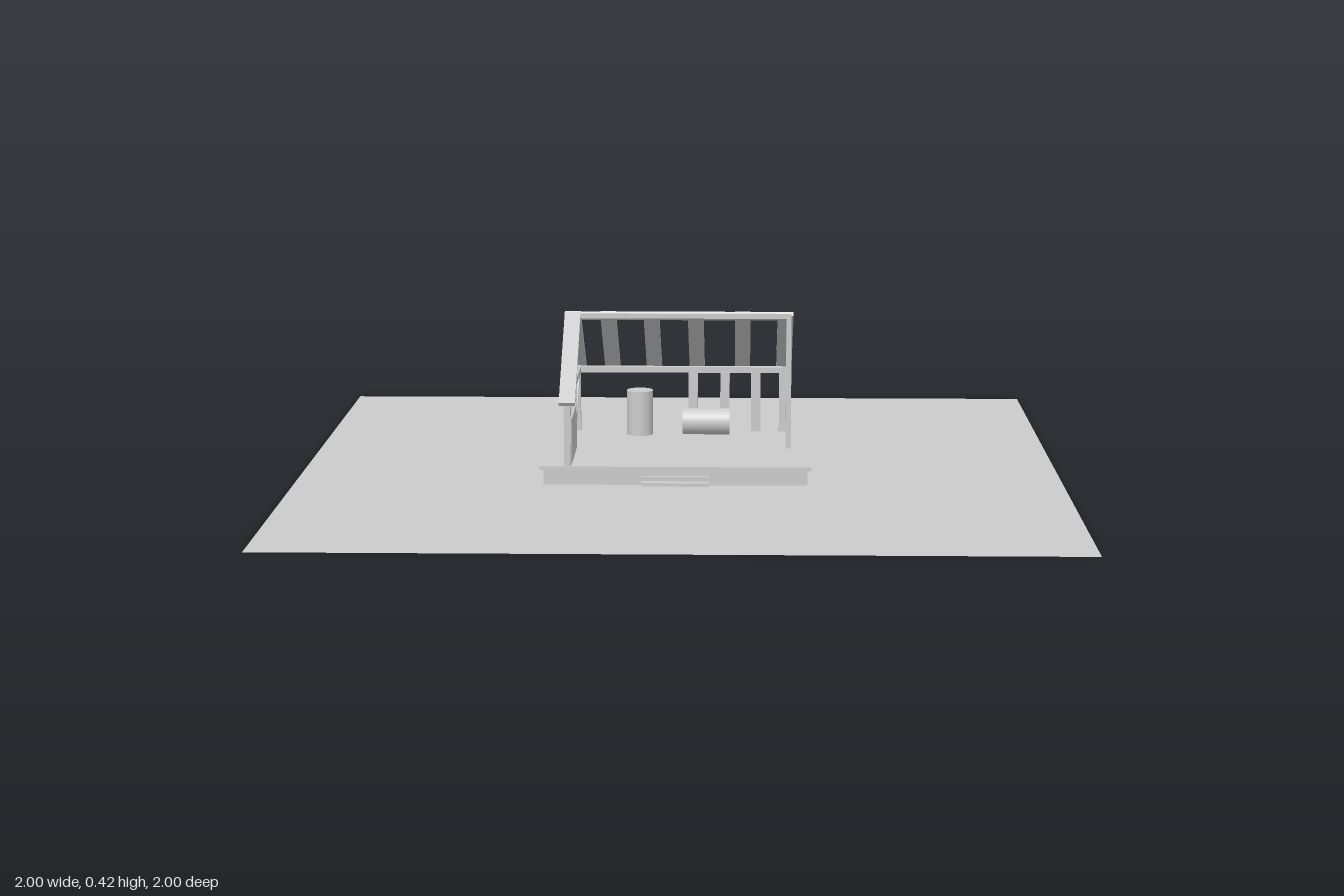
import * as THREE from 'three';

const mat = new THREE.MeshStandardMaterial({ color: 0xcccccc });

export function createModel() {
  const model = new THREE.Group();

  const add = (name, geometry, x, y, z) => {
    const mesh = new THREE.Mesh(geometry, mat);
    mesh.name = name;
    mesh.position.set(x, y, z);
    model.add(mesh);
    return mesh;
  };
  // Box given by its extents along each axis
  const box = (name, [x0, x1], [y0, y1], [z0, z1]) =>
    add(name, new THREE.BoxGeometry(x1 - x0, y1 - y0, z1 - z0),
      (x0 + x1) / 2, (y0 + y1) / 2, (z0 + z1) / 2);
  // Board running in the y-z plane from (y0, z0) to (y1, z1)
  const board = (name, x, width, thick, [y0, z0], [y1, z1]) => {
    const length = Math.hypot(y1 - y0, z1 - z0);
    const mesh = add(name, new THREE.BoxGeometry(width, thick, length),
      x, (y0 + y1) / 2, (z0 + z1) / 2);
    mesh.rotation.x = -Math.atan2(y1 - y0, z1 - z0);
    return mesh;
  };

  // Ground sheet
  const ground = add('ground', new THREE.PlaneGeometry(2, 2), 0, 0, 0);
  ground.rotation.x = -Math.PI / 2;
  ground.material = mat.clone();
  ground.material.side = THREE.DoubleSide;

  // Platform and front steps
  box('platform', [-0.35, 0.335], [0, 0.04], [-0.245, 0.245]);
  box('deck', [-0.36, 0.345], [0.04, 0.05], [-0.255, 0.255]);
  box('lowerStep', [-0.095, 0.08], [0.004, 0.013], [0.245, 0.283]);
  box('upperStep', [-0.095, 0.08], [0.013, 0.024], [0.245, 0.258]);

  // Back posts and the plate they carry
  for (const x of [0.03, 0.118, 0.203, 0.28]) {
    box('backPost', [x - 0.013, x + 0.013], [0.05, 0.215], [-0.246, -0.226]);
  }
  box('backPlate', [-0.3, 0.295], [0.213, 0.229], [-0.246, -0.228]);

  // Gable frame: corner posts, king post, tie beam and braces
  const gableX = -0.288;
  for (const side of [-1, 1]) {
    box('cornerPost', [gableX - 0.008, gableX + 0.008], [0.05, 0.215],
      [side * 0.235 - 0.012, side * 0.235 + 0.012]);
    board('brace', gableX, 0.012, 0.015, [0.057, side * 0.005], [0.21, side * 0.23]);
  }
  box('kingPost', [gableX - 0.01, gableX + 0.01], [0.05, 0.405], [-0.011, 0.011]);
  box('tieBeam', [gableX - 0.009, gableX + 0.009], [0.214, 0.23], [-0.265, 0.265]);
  box('gablePanel', [gableX + 0.006, gableX + 0.011], [0.05, 0.17], [0.01, 0.24]);

  // Open end post
  box('endPost', [0.282, 0.296], [0.05, 0.405], [-0.01, 0.008]);

  // Roof boards: six on the back slope, one on the front
  for (const x of [-0.286, -0.192, -0.077, 0.041, 0.166, 0.28]) {
    board('backRoofBoard', x, 0.042, 0.012, [0.413, -0.001], [0.217, -0.273]);
  }
  board('frontRoofBoard', -0.286, 0.042, 0.012, [0.413, 0.001], [0.217, 0.273]);
  board('ridgeBoard', -0.004, 0.592, 0.011, [0.413, -0.001], [0.396, -0.024]);
  box('ridgeBeam', [-0.3, 0.295], [0.4, 0.413], [-0.006, 0.006]);

  // Barrels
  add('standingBarrel', new THREE.CylinderGeometry(0.036, 0.036, 0.122, 32), -0.115, 0.111, -0.187);
  const lying = add('lyingBarrel', new THREE.CylinderGeometry(0.036, 0.036, 0.128, 32), 0.067, 0.086, -0.184);
  lying.rotation.z = Math.PI / 2;

  return model;
}
